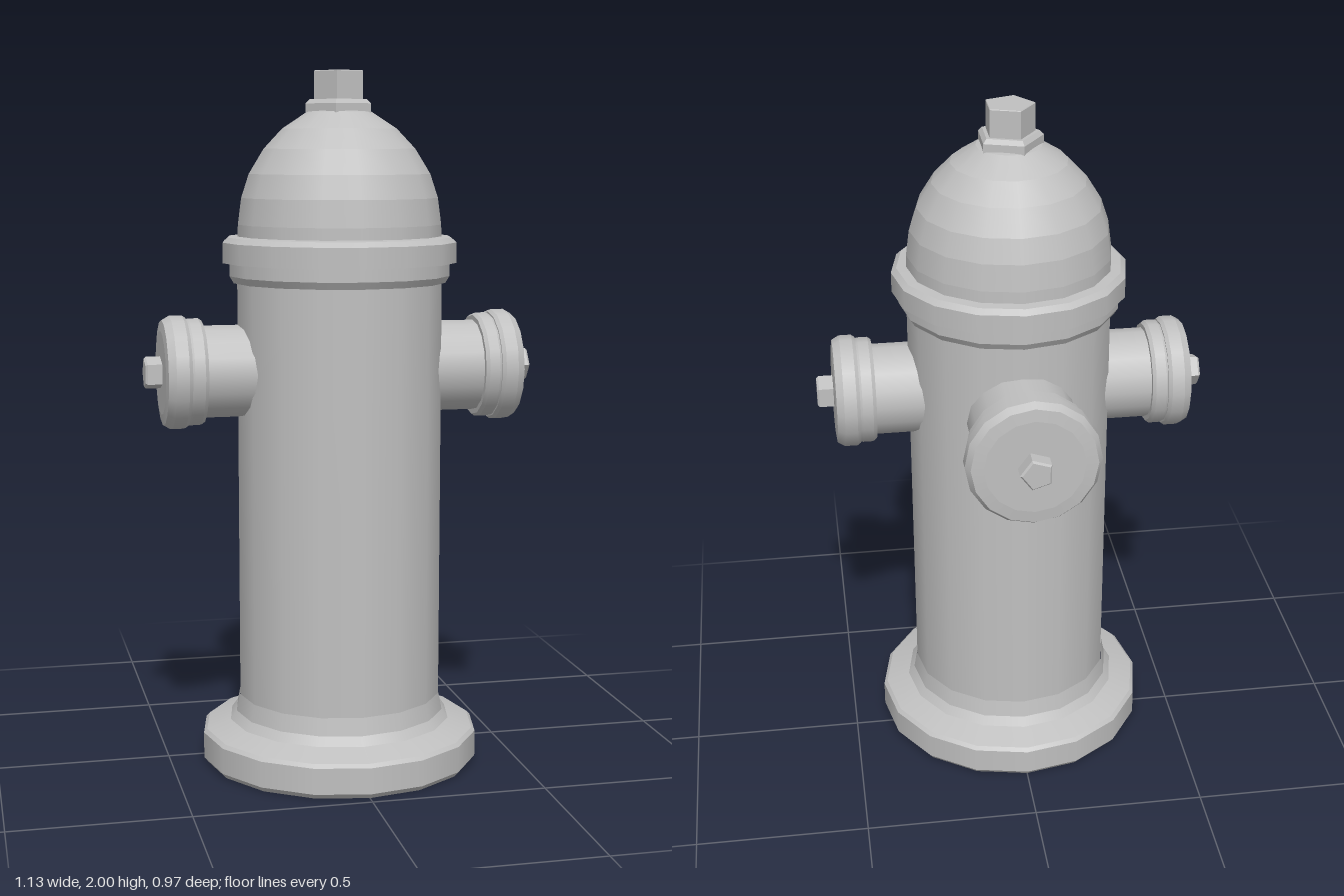
import * as THREE from 'three';
import { mergeGeometries } from 'three/addons/utils/BufferGeometryUtils.js';

// Turned part: smooth around the axis, hard edge at every profile point
function turned(profile, sides = 16) {
  const bands = [];
  for (let i = 0; i < profile.length - 1; i++) {
    const pair = [profile[i], profile[i + 1]].map(([r, y]) => new THREE.Vector2(r, y));
    bands.push(new THREE.LatheGeometry(pair, sides));
  }
  return mergeGeometries(bands);
}

// Five-sided nut with flat faces and a bevelled top
function nutGeometry(r, y0, y1, bevel) {
  const geo = turned([[0, y0], [r, y0], [r, y1 - bevel], [r - bevel, y1], [0, y1]], 5).toNonIndexed();
  geo.computeVertexNormals();
  return geo;
}

export function createModel() {
  const castIron = new THREE.MeshStandardMaterial({ color: 0xc0c0c0 });
  castIron.name = 'cast iron grey';

  const model = new THREE.Group();
  model.name = 'fireHydrant';
  const hydrant = new THREE.Group();
  hydrant.name = 'hydrant';
  hydrant.position.z = 0.076;
  model.add(hydrant);

  const add = (parent, name, geometry) => {
    const mesh = new THREE.Mesh(geometry, castIron);
    mesh.name = name;
    parent.add(mesh);
    return mesh;
  };

  // Foot flange and its fillet
  add(hydrant, 'base', turned([
    [0, 0], [0.393, 0], [0.405, 0.015], [0.405, 0.09], [0.395, 0.1],
    [0.325, 0.125], [0.307, 0.15], [0.297, 0.2],
  ]));

  // Barrel
  add(hydrant, 'barrel', turned([[0.296, 0.15], [0.296, 1.42]]));

  // Collar below the bonnet, then the wide flange
  add(hydrant, 'collar', turned([[0.29, 1.405], [0.306, 1.405], [0.318, 1.425], [0.318, 1.47]]));
  add(hydrant, 'bonnetFlange', turned([
    [0.29, 1.462], [0.337, 1.462], [0.337, 1.52], [0.322, 1.534], [0.28, 1.538],
  ]));

  // Domed bonnet
  add(hydrant, 'bonnet', turned([
    [0.294, 1.53], [0.293, 1.57], [0.283, 1.645], [0.261, 1.712],
    [0.218, 1.782], [0.165, 1.838], [0.093, 1.885], [0, 1.9],
  ]));

  // Operating nut on a five-sided washer
  add(hydrant, 'topWasher', nutGeometry(0.097, 1.87, 1.92, 0.012)).rotation.y = -Math.PI / 2;
  add(hydrant, 'topNut', nutGeometry(0.073, 1.9, 2, 0.002)).rotation.y = -Math.PI / 2;

  // Outlet: neck, ring, cap and nut, turned about the outward axis
  const outlet = (name, angle, s) => {
    const group = new THREE.Group();
    group.name = name;
    group.position.y = 1.155;
    group.rotation.y = angle;
    hydrant.add(group);
    const axis = new THREE.Group();
    axis.name = name + 'Axis';
    axis.rotation.z = -Math.PI / 2;
    group.add(axis);
    const scaled = (pts) => turned(pts.map(([r, y]) => [r * s, y]));
    add(axis, name + 'Neck', scaled([[0.132, 0.2], [0.132, 0.42]]));
    add(axis, name + 'Ring', scaled([
      [0.125, 0.4], [0.146, 0.4], [0.153, 0.41], [0.153, 0.44], [0.148, 0.452],
    ]));
    add(axis, name + 'Cap', scaled([
      [0.14, 0.446], [0.155, 0.446], [0.162, 0.456], [0.162, 0.492],
      [0.15, 0.513], [0.12, 0.517], [0, 0.517],
    ]));
    add(axis, name + 'Nut', nutGeometry(0.048, 0.5, 0.564, 0.006));
  };
  outlet('leftOutlet', 0, 1);
  outlet('rightOutlet', Math.PI, 1);
  outlet('rearOutlet', Math.PI / 2, 1.17);

  return model;
}
